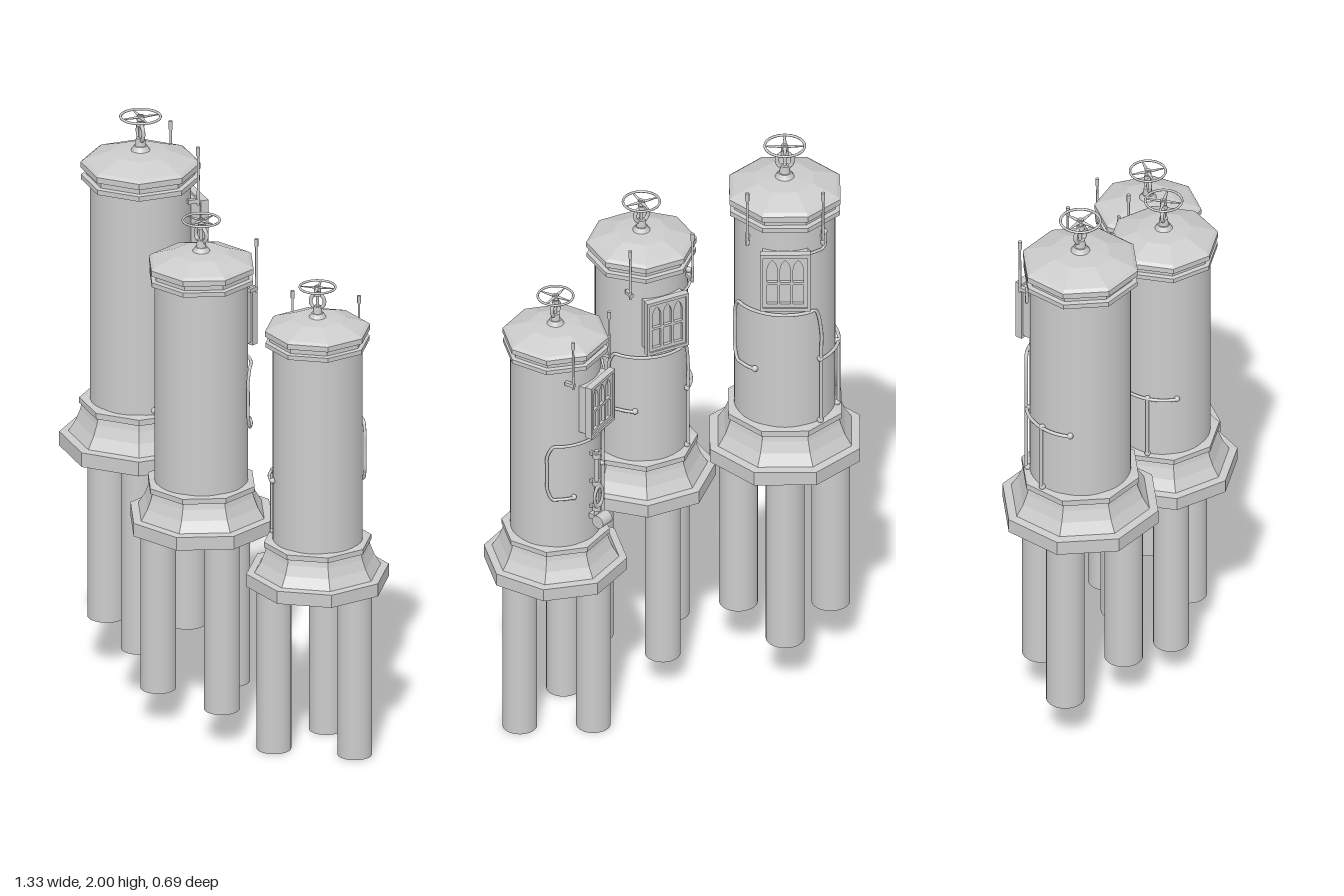
import * as THREE from 'three';

const smooth = new THREE.MeshStandardMaterial({ color: 0xcccccc });
const faceted = new THREE.MeshStandardMaterial({ color: 0xcccccc, flatShading: true });
const rad = THREE.MathUtils.degToRad;

function add(parent, name, geo, x = 0, y = 0, z = 0, mat = smooth) {
  const m = new THREE.Mesh(geo, mat);
  m.name = name;
  m.position.set(x, y, z);
  parent.add(m);
  return m;
}

// Eight-sided turned part with a flat side facing -z
function octagon(parent, name, profile) {
  const geo = new THREE.LatheGeometry(profile.map(p => new THREE.Vector2(...p)), 8);
  geo.rotateY(Math.PI / 8);
  return add(parent, name, geo, 0, 0, 0, faceted);
}

const cyl = (r0, r1, h, n = 16) => new THREE.CylinderGeometry(r0, r1, h, n);

// Point on the shaft's side; angle in degrees from -z towards +x
const around = (deg, y, r = 0.178) =>
  new THREE.Vector3(r * Math.sin(rad(deg)), y, -r * Math.cos(rad(deg)));

// Pipe hugging the shaft through [angle, height, radius] stops
function pipe(parent, name, stops, r = 0.006) {
  const pts = [];
  stops.forEach(([a, y, q = 0.178], i) => {
    if (i) {
      const [a0, y0, q0 = 0.178] = stops[i - 1];
      const n = Math.max(5, Math.ceil(Math.abs(a - a0) / 8));
      for (let k = 1; k < n; k++) {
        const t = k / n;
        pts.push(around(a0 + (a - a0) * t, y0 + (y - y0) * t, q0 + (q - q0) * t));
      }
    }
    // leave out the inner corners so that bends come out rounded
    if (i === 0 || i === stops.length - 1) pts.push(around(a, y, q));
  });
  const curve = new THREE.CatmullRomCurve3(pts);
  add(parent, name, new THREE.TubeGeometry(curve, pts.length * 4, r, 8));
  for (const [a, y] of [stops[0], stops[stops.length - 1]]) {
    const p = around(a, y, 0.174);
    add(parent, name + 'Fitting', new THREE.SphereGeometry(0.011, 10, 8), p.x, p.y, p.z);
  }
}

// Handwheel, yoke and stem on top of the roof
function valve() {
  const g = new THREE.Group();
  g.name = 'valve';
  add(g, 'valveFoot', cyl(0.022, 0.034, 0.02), 0, 0.008);
  add(g, 'valveNeck', cyl(0.015, 0.018, 0.03), 0, 0.03);
  const yoke = add(g, 'valveYoke', new THREE.TorusGeometry(0.026, 0.007, 8, 24), 0, 0.064);
  yoke.scale.y = 1.1;
  add(g, 'valveStem', cyl(0.006, 0.006, 0.09, 10), 0, 0.082);
  add(g, 'valveCap', cyl(0.012, 0.014, 0.015), 0, 0.095);
  const rim = add(g, 'wheelRim', new THREE.TorusGeometry(0.066, 0.0045, 8, 40), 0, 0.12);
  rim.rotation.x = Math.PI / 2;
  add(g, 'wheelHub', cyl(0.011, 0.013, 0.018), 0, 0.116);
  for (let i = 0; i < 4; i++) {
    const a = i * Math.PI / 2;
    const spoke = add(g, 'wheelSpoke', cyl(0.003, 0.009, 0.064, 8),
      0.034 * Math.cos(a), 0.118, 0.034 * Math.sin(a));
    spoke.rotation.set(0, -a, -Math.PI / 2);
    spoke.scale.z = 0.9;
    spoke.scale.x = 0.5;
  }
  return g;
}

// Bay window with two rows of panes, the upper row pointed
function bayWindow() {
  const g = new THREE.Group();
  g.name = 'bayWindow';
  const w = 0.15, h = 0.2;
  const frame = new THREE.Shape();
  frame.moveTo(-w / 2, -h / 2).lineTo(w / 2, -h / 2).lineTo(w / 2, h / 2).lineTo(-w / 2, h / 2);
  for (let i = -1; i <= 1; i++) {
    const x = i * 0.043, e = 0.017;
    const low = new THREE.Path();
    low.moveTo(x - e, -0.085).lineTo(x - e, -0.01).lineTo(x + e, -0.01).lineTo(x + e, -0.085);
    const lancet = new THREE.Path();
    lancet.moveTo(x - e, 0).lineTo(x - e, 0.045);
    lancet.quadraticCurveTo(x - e, 0.07, x, 0.086);
    lancet.quadraticCurveTo(x + e, 0.07, x + e, 0.045);
    lancet.lineTo(x + e, 0);
    frame.holes.push(low, lancet);
  }
  const tracery = new THREE.ExtrudeGeometry(frame, { depth: 0.014, bevelEnabled: false, curveSegments: 5 });
  tracery.rotateY(Math.PI);
  add(g, 'windowTracery', tracery, 0, 0, -0.188, faceted);
  add(g, 'windowBox', new THREE.BoxGeometry(w, h, 0.09), 0, 0, -0.145);
  // raised border
  for (const s of [-1, 1]) {
    add(g, 'windowJamb', new THREE.BoxGeometry(0.01, 0.22, 0.026), s * 0.078, 0, -0.195);
    add(g, 'windowLintel', new THREE.BoxGeometry(0.166, 0.012, 0.026), 0, s * 0.104, -0.195);
  }
  return g;
}

// Riser with a loop and a round gauge below the window
function gaugeRiser() {
  const g = new THREE.Group();
  g.name = 'gaugeRiser';
  g.rotation.y = -rad(7);
  add(g, 'riserPipe', cyl(0.009, 0.009, 0.3, 10), 0, 1.07, -0.195);
  for (const y of [0.97, 1.08, 1.2]) {
    add(g, 'riserCollar', cyl(0.016, 0.016, 0.02, 12), 0, y, -0.195);
    add(g, 'riserBracket', new THREE.BoxGeometry(0.012, 0.012, 0.04), 0, y, -0.178);
  }
  const loop = add(g, 'riserLoop', new THREE.TorusGeometry(0.024, 0.006, 8, 20), 0, 1.025, -0.205);
  loop.scale.y = 1.8;
  const drum = add(g, 'gaugeDrum', cyl(0.026, 0.026, 0.055, 20), 0, 0.93, -0.222);
  drum.rotation.z = Math.PI / 2;
  add(g, 'gaugeStub', new THREE.BoxGeometry(0.02, 0.02, 0.06), 0, 0.93, -0.19);
  return g;
}

function tower(name, hasGauge) {
  const g = new THREE.Group();
  g.name = name;
  // three round legs, one under the window
  for (const [x, z] of [[0, -0.165], [-0.152, 0.06], [0.152, 0.06]])
    add(g, 'leg', cyl(0.064, 0.064, 0.66, 32), x, 0.33, z);
  octagon(g, 'flaredBase', [[0, 0.65], [0.268, 0.65], [0.268, 0.7], [0.238, 0.703],
    [0.214, 0.742], [0.199, 0.78], [0.194, 0.8], [0.202, 0.802], [0.202, 0.822], [0.16, 0.828]]);
  add(g, 'shaft', cyl(0.167, 0.167, 0.78, 48), 0, 1.21);
  octagon(g, 'roof', [[0.15, 1.588], [0.196, 1.596], [0.196, 1.613], [0.18, 1.616], [0.18, 1.634],
    [0.198, 1.638], [0.198, 1.658], [0.185, 1.667], [0.1, 1.697], [0, 1.704]]);
  const v = valve();
  v.position.y = 1.7;
  g.add(v);
  const win = bayWindow();
  win.position.y = 1.415;
  g.add(win);
  // rods either side of the window
  for (const s of [-1, 1]) {
    add(g, 'rod', cyl(0.004, 0.005, 0.2, 8), s * 0.125, 1.63, -0.155);
    add(g, 'rodTip', cyl(0.007, 0.007, 0.03, 8), s * 0.125, 1.72, -0.155);
    add(g, 'rodClamp', new THREE.BoxGeometry(0.014, 0.014, 0.04), s * 0.122, 1.545, -0.14);
  }
  // service pipes
  pipe(g, 'upperPipe', [[-42, 0.83], [-42, 1.27], [68, 1.27], [68, 1.04], [35, 1.04]]);
  pipe(g, 'lowerPipe', [[-42, 1.07], [-118, 1.07]]);
  pipe(g, 'dropPipe', [[-83, 1.07], [-83, 0.83]]);
  pipe(g, 'eavesPipe', [[-48, 1.56], [-48, 1.5], [-26, 1.5]], 0.005);
  if (hasGauge) g.add(gaugeRiser());
  return g;
}

export function createModel() {
  const model = new THREE.Group();
  model.name = 'towerCluster';
  const place = (name, scale, x, y, z, turn, gauge) => {
    const t = tower(name, gauge);
    t.scale.setScalar(scale);
    t.position.set(x, y, z);
    t.rotation.y = rad(turn);
    model.add(t);
  };
  place('tallTower', 1, -0.395, 0.175, -0.081, -28, false);
  place('middleTower', 0.923, 0.037, 0.12, 0.113, -1, false);
  place('shortTower', 0.893, 0.43, 0, -0.018, 29.5, true);
  return model;
}
